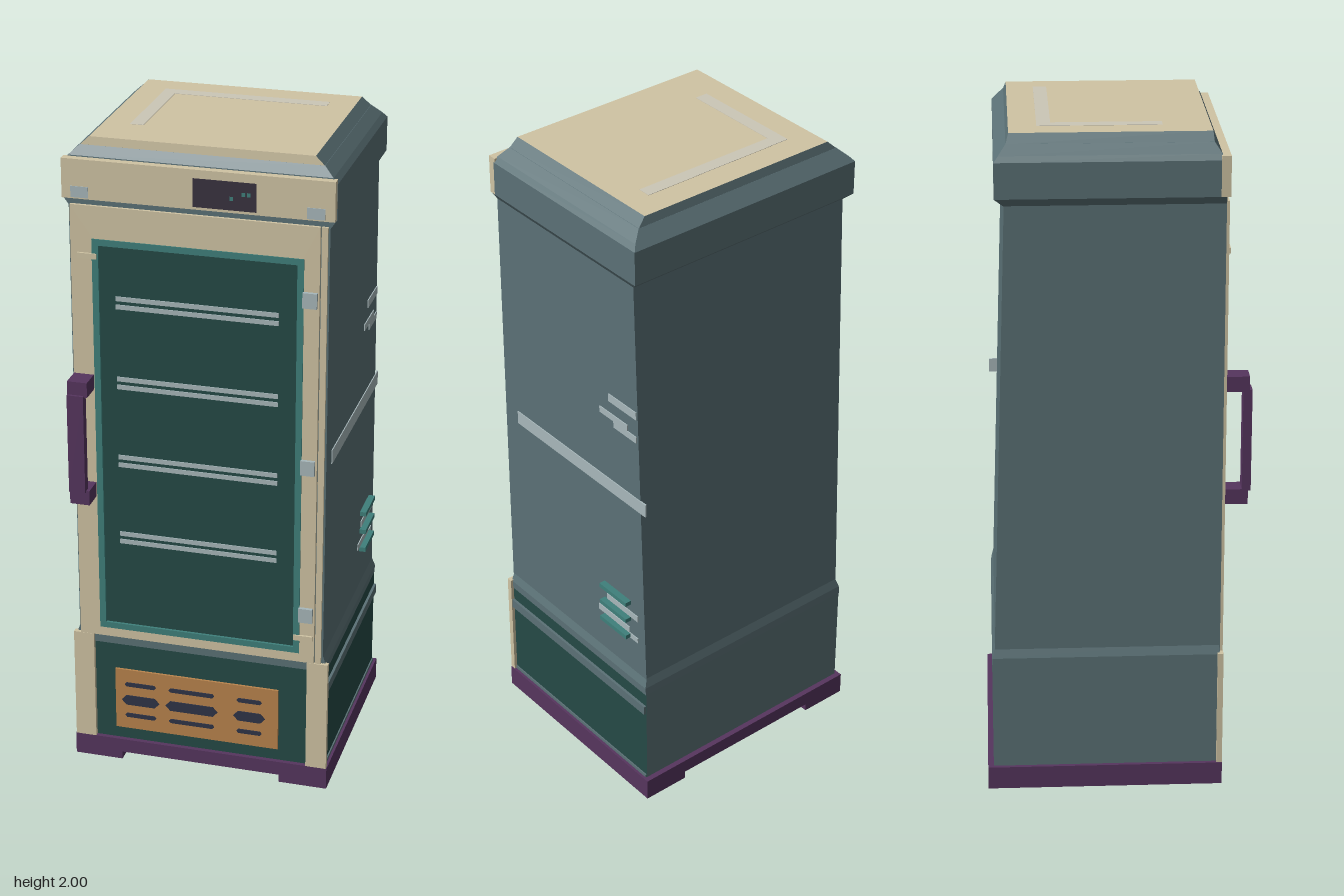
import * as THREE from 'three';

const mat = (name, color) => {
  const m = new THREE.MeshStandardMaterial({ color });
  m.name = name;
  return m;
};

export function createModel() {
  const cream = mat('cream', 0xd0c4a4);
  const slate = mat('slate', 0x5b7176);
  const green = mat('darkGreen', 0x254a46);
  const teal = mat('teal', 0x3f807b);
  const purple = mat('purple', 0x56355e);
  const orange = mat('orange', 0xb9844d);
  const light = mat('lightGrey', 0xa8b8bb);
  const dark = mat('nearBlack', 0x38323f);
  const navy = mat('navy', 0x2f3448);
  const pale = mat('paleStone', 0xccc7b7);

  const model = new THREE.Group();
  const add = (name, geometry, material) => {
    const mesh = new THREE.Mesh(geometry, material);
    mesh.name = name;
    model.add(mesh);
    return mesh;
  };

  // Box given by its limits on each axis
  const box = (name, material, x0, x1, y0, y1, z0, z1) =>
    add(name, new THREE.BoxGeometry(x1 - x0, y1 - y0, z1 - z0), material)
      .position.set((x0 + x1) / 2, (y0 + y1) / 2, (z0 + z1) / 2);

  // Stack of rectangles [y, halfWidth, back, front]; materials: front, left, back, right, top, bottom
  const loft = (name, rings, materials) => {
    const pos = [];
    const geo = new THREE.BufferGeometry();
    const corners = rings.map(([y, w, b, f]) => [[-w, y, f], [w, y, f], [w, y, b], [-w, y, b]]);
    const quad = (a, b, c, d) => pos.push(...a, ...b, ...c, ...a, ...c, ...d);
    for (let side = 0; side < 4; side++) {
      const next = (side + 1) % 4;
      for (let i = 0; i < rings.length - 1; i++) {
        quad(corners[i][side], corners[i][next], corners[i + 1][next], corners[i + 1][side]);
      }
      const n = (rings.length - 1) * 6;
      geo.addGroup(side * n, n, side);
    }
    const start = pos.length / 3;
    const last = corners[corners.length - 1];
    quad(last[0], last[1], last[2], last[3]);
    quad(corners[0][3], corners[0][2], corners[0][1], corners[0][0]);
    geo.addGroup(start, 6, 4);
    geo.addGroup(start + 6, 6, 5);
    geo.setAttribute('position', new THREE.Float32BufferAttribute(pos, 3));
    geo.computeVertexNormals();
    return add(name, geo, materials);
  };
  const all = (m) => Array(6).fill(m);

  // Rectangular frame with an opening, facing the front
  const frame = (name, material, outer, inner, z0, z1) => {
    const rect = (Type, [x0, x1, y0, y1]) => new Type([
      new THREE.Vector2(x0, y0), new THREE.Vector2(x1, y0),
      new THREE.Vector2(x1, y1), new THREE.Vector2(x0, y1)]);
    const shape = rect(THREE.Shape, outer);
    shape.holes.push(rect(THREE.Path, inner));
    add(name, new THREE.ExtrudeGeometry(shape, { depth: z1 - z0, bevelEnabled: false }), material)
      .position.z = z0;
  };

  // Base with two long feet
  box('basePlate', purple, -0.4, 0.4, 0.025, 0.07, -0.387, 0.317);
  for (const s of [-1, 1]) {
    const x = s * 0.325;
    box('foot', purple, x - 0.075, x + 0.075, 0, 0.026, -0.387, 0.317);
  }

  // Lower cabinet, with a sloping shoulder
  loft('lowerCabinet', [[0.07, 0.388, -0.37, 0.303], [0.4, 0.388, -0.37, 0.303]],
    [green, green, slate, slate, slate, slate]);
  loft('shoulder', [[0.4, 0.39, -0.37, 0.306], [0.425, 0.39, -0.368, 0.306], [0.46, 0.378, -0.36, 0.304]], all(slate));
  box('sideTrim', slate, 0.386, 0.396, 0.325, 0.355, -0.368, 0.303);
  box('sideTrimLow', slate, 0.386, 0.392, 0.07, 0.08, -0.368, 0.303);
  for (const s of [-1, 1]) {
    const x = s * 0.366;
    box('frontPost', cream, x - 0.032, x + 0.032, 0.07, 0.43, 0.3, 0.317);
  }

  // Vent panel with three columns of slots
  box('ventPanel', orange, -0.27, 0.245, 0.11, 0.315, 0.303, 0.31);
  const slot = (x0, x1, y, h) => {
    const c = h * 0.45;
    const pts = [[x0, y], [x0 + c, y - h / 2], [x1 - c, y - h / 2], [x1, y], [x1 - c, y + h / 2], [x0 + c, y + h / 2]];
    const shape = new THREE.Shape(pts.map(([x, v]) => new THREE.Vector2(x, v)));
    add('ventSlot', new THREE.ExtrudeGeometry(shape, { depth: 0.003, bevelEnabled: false }), navy).position.z = 0.3095;
  };
  for (const [x0, x1] of [[-0.24, -0.14], [-0.1, 0.045], [0.115, 0.195]]) {
    slot(x0 - 0.01, x1 + 0.01, 0.21, 0.033);
    for (const y of [0.265, 0.157]) slot(x0, x1, y, 0.014);
  }

  // Main body, leaning in at the back
  loft('body', [[0.43, 0.381, -0.362, 0.307], [1.82, 0.381, -0.315, 0.307]], all(slate));

  // Door: cream frame, teal trim, dark glass and shelves
  frame('doorFrame', cream, [-0.376, 0.355, 0.43, 1.81], [-0.3, 0.3, 0.47, 1.7], 0.306, 0.316);
  box('doorJamb', cream, 0.358, 0.376, 0.43, 1.81, 0.306, 0.314);
  frame('doorTrim', teal, [-0.312, 0.31, 0.46, 1.712], [-0.293, 0.291, 0.479, 1.693], 0.307, 0.319);
  box('doorGlass', green, -0.3, 0.3, 0.47, 1.7, 0.306, 0.311);
  for (const y of [0.77, 1.022, 1.272, 1.522]) {
    for (const d of [-0.0125, 0.0125]) {
      box('shelfRail', light, -0.245, 0.237, y + d - 0.007, y + d + 0.007, 0.31, 0.314);
    }
  }
  for (const y of [0.592, 1.074, 1.592]) box('hinge', light, 0.308, 0.35, y - 0.023, y + 0.023, 0.314, 0.327);
  box('latchTop', cream, -0.355, -0.298, 1.652, 1.668, 0.314, 0.323);
  box('latchBottom', cream, 0.292, 0.35, 0.505, 0.522, 0.314, 0.323);

  // Handle
  for (const y of [0.922, 1.268]) box('handleMount', purple, -0.375, -0.315, y - 0.023, y + 0.023, 0.313, 0.382);
  box('handleBar', purple, -0.375, -0.325, 0.94, 1.25, 0.364, 0.39);

  // Head with bevelled top and bottom
  loft('head', [[1.805, 0.381, -0.317, 0.307], [1.828, 0.397, -0.343, 0.307], [1.828, 0.397, -0.343, 0.295],
    [1.932, 0.397, -0.343, 0.295], [1.948, 0.384, -0.33, 0.293], [1.975, 0.355, -0.308, 0.273]], all(slate));
  loft('topSlab', [[1.974, 0.355, -0.308, 0.273], [2, 0.328, -0.3, 0.271]],
    [cream, slate, slate, slate, cream, slate]);
  box('fascia', cream, -0.398, 0.396, 1.828, 1.945, 0.29, 0.317);
  box('display', dark, -0.012, 0.172, 1.836, 1.92, 0.316, 0.3185);
  for (const [x, y] of [[0.1, 1.87], [0.135, 1.885], [0.15, 1.885]]) {
    box('indicator', teal, x - 0.005, x + 0.005, y - 0.006, y + 0.006, 0.318, 0.3195);
  }
  for (const x of [-0.345, 0.342]) box('badge', light, x - 0.026, x + 0.026, 1.832, 1.865, 0.316, 0.319);

  // Pale angle on the top
  box('topStripeBack', pale, -0.25, 0.25, 1.999, 2.001, -0.22, -0.18);
  box('topStripeSide', pale, -0.25, -0.21, 1.999, 2.001, -0.18, 0.135);

  // Stripes and louvres on the left side
  const stripes = [[1.06, 1.103, -0.365, 0.245], [1.375, 1.4, -0.325, -0.2], [1.317, 1.337, -0.285, -0.158],
    [1.296, 1.317, -0.325, -0.222], [0.65, 0.67, -0.325, -0.178], [0.587, 0.607, -0.285, -0.138], [0.57, 0.587, -0.325, -0.22]];
  for (const [y0, y1, z0, z1] of stripes) box('sideStripe', light, 0.379, 0.384, y0, y1, z0, z1);
  for (const y of [0.579, 0.641, 0.702]) box('louvre', teal, 0.38, 0.401, y - 0.007, y + 0.007, -0.29, -0.165);

  return model;
}
